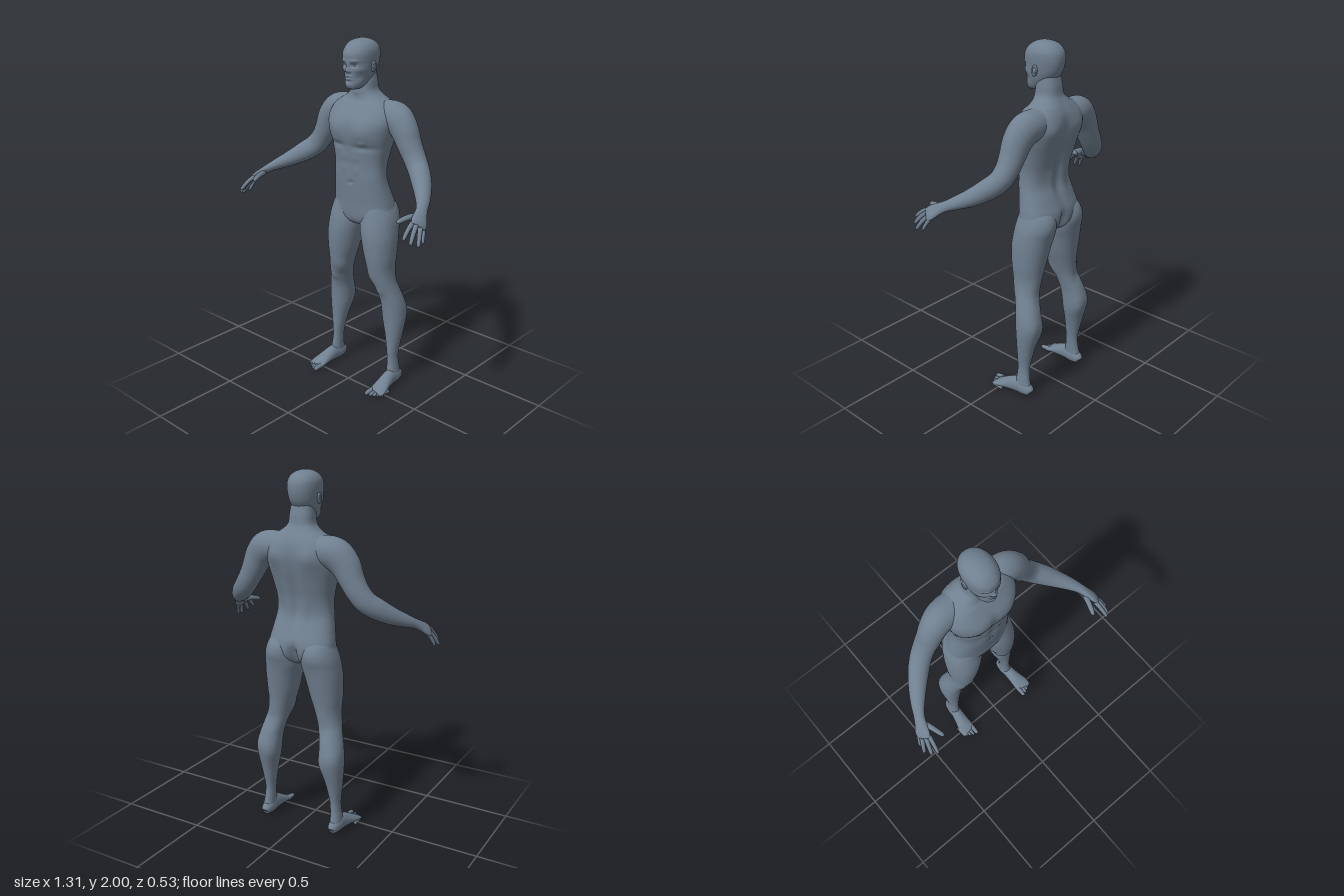
import * as THREE from 'three';

const skinMat = new THREE.MeshStandardMaterial({ color: 0x708090 });
skinMat.name = 'slate skin';

// Catmull-Rom interpolation of rows of numbers into n + 1 rows
function smoothRows(rows, n) {
  const out = [], last = rows.length - 1;
  for (let i = 0; i <= n; i++) {
    const u = (i / n) * last, k = Math.min(Math.floor(u), last - 1), t = u - k;
    const a = rows[Math.max(k - 1, 0)], b = rows[k], c = rows[k + 1], d = rows[Math.min(k + 2, last)];
    out.push(b.map((_, j) => 0.5 * (2 * b[j] + (c[j] - a[j]) * t
      + (2 * a[j] - 5 * b[j] + 4 * c[j] - d[j]) * t * t
      + (3 * b[j] - a[j] - 3 * c[j] + d[j]) * t * t * t)));
  }
  return out;
}

// Closed smooth surface through rings of points; side -1 mirrors it in x
function skin(rings, side = 1) {
  const pos = [], idx = [], m = rings[0].length, n = rings.length;
  const tri = (a, b, c) => (side > 0 ? idx.push(a, b, c) : idx.push(a, c, b));
  rings.forEach(r => r.forEach(p => pos.push(side * p.x, p.y, p.z)));
  for (const r of [rings[0], rings[n - 1]]) {
    const c = r.reduce((s, p) => s.add(p), new THREE.Vector3()).divideScalar(m);
    pos.push(side * c.x, c.y, c.z);
  }
  for (let j = 0; j < m; j++) {
    const k = (j + 1) % m, top = (n - 1) * m;
    for (let i = 0; i < n - 1; i++) {
      const a = i * m + j, b = i * m + k;
      tri(a, b, b + m);
      tri(a, b + m, a + m);
    }
    tri(n * m, k, j);
    tri(n * m + 1, top + j, top + k);
  }
  const g = new THREE.BufferGeometry();
  g.setAttribute('position', new THREE.Float32BufferAttribute(pos, 3));
  g.setIndex(idx);
  g.computeVertexNormals();
  return g;
}

// Upright body part, rows bottom to top: [y, centreX, halfWidth, zFront, zBack]
// forms: soft muscle bumps or dents [front 1 / back -1, x, y, radiusX, radiusY, amount]
function upright(rows, n, segs, power, forms) {
  const pw = v => Math.sign(v) * Math.abs(v) ** power;
  return smoothRows(rows, n).map(([y, cx, w, zf, zb]) => {
    const ring = [], cz = (zf + zb) / 2, d = (zf - zb) / 2;
    for (let j = 0; j < segs; j++) {
      const a = (j / segs) * Math.PI * 2, s = Math.sin(a), c = Math.cos(a);
      const p = new THREE.Vector3(cx + w * pw(s), y, cz + d * pw(c));
      let push = 0;
      for (const [face, bx, by, rx, ry, amount] of forms) {
        const facing = THREE.MathUtils.clamp(face * c * 2, 0, 1);
        push += facing * amount * Math.exp(-(((Math.abs(p.x) - bx) / rx) ** 2) - ((y - by) / ry) ** 2);
      }
      p.x += s * push;
      p.z += c * push;
      ring.push(p);
    }
    return ring;
  });
}

// Limb along a path, rows: [x, y, z, thickness, width]; width lies along ref
function limb(rows, n, segs, ref) {
  const path = smoothRows(rows, n), at = i => new THREE.Vector3(...path[i].slice(0, 3));
  return path.map((r, i) => {
    const t = at(Math.min(i + 1, n)).sub(at(Math.max(i - 1, 0))).normalize();
    const u = ref.clone().addScaledVector(t, -ref.dot(t)).normalize();
    const v = t.clone().cross(u), ring = [];
    for (let j = 0; j < segs; j++) {
      const a = (j / segs) * Math.PI * 2;
      ring.push(at(i).addScaledVector(u, Math.cos(a) * r[4]).addScaledVector(v, Math.sin(a) * r[3]));
    }
    return ring;
  });
}

// Finger or toe from base to tip with a slight arch and a rounded end
function digit(base, tip, r, arch) {
  const at = (t, k) => {
    const p = base.map((b, i) => b + (tip[i] - b) * t);
    p[1] += arch * Math.sin(Math.PI * t);
    return [...p, r * k, r * k];
  };
  return [at(0, 1.1), at(0.3, 1.05), at(0.5, 1), at(0.75, 0.92), at(0.92, 0.75), at(0.98, 0.45), at(1, 0.1)];
}

export function createModel() {
  const body = new THREE.Group();
  body.name = 'standing figure';
  const add = (name, geometry) => {
    const mesh = new THREE.Mesh(geometry, skinMat);
    mesh.name = name;
    body.add(mesh);
    return mesh;
  };
  const pair = (name, rings) => {
    add('left ' + name, skin(rings, 1));
    add('right ' + name, skin(rings, -1));
  };

  // Torso and neck
  add('torso', skin(upright([
    [0.962, 0, 0.03, -0.09, -0.15], [0.975, 0, 0.09, -0.06, -0.19], [1.0, 0, 0.155, -0.04, -0.225],
    [1.04, 0, 0.195, -0.032, -0.248], [1.1, 0, 0.191, -0.028, -0.25], [1.17, 0, 0.178, -0.02, -0.225],
    [1.25, 0, 0.165, -0.012, -0.197], [1.33, 0, 0.163, -0.01, -0.203], [1.42, 0, 0.18, 0, -0.228],
    [1.5, 0, 0.2, 0.013, -0.25], [1.57, 0, 0.212, 0.008, -0.26], [1.63, 0, 0.195, -0.025, -0.254],
    [1.67, 0, 0.148, -0.056, -0.238], [1.7, 0, 0.1, -0.065, -0.22], [1.73, 0, 0.073, -0.065, -0.205],
    [1.78, 0, 0.066, -0.07, -0.197], [1.83, 0, 0.058, -0.08, -0.185],
  ], 150, 80, 0.83, [
    [1, 0.09, 1.52, 0.07, 0.06, 0.012], [1, 0, 1.52, 0.016, 0.08, -0.007],     // chest
    [1, 0.09, 1.432, 0.06, 0.016, -0.01], [1, 0.09, 1.455, 0.014, 0.012, 0.005],
    [1, 0, 1.32, 0.012, 0.09, -0.005], [1, 0, 1.225, 0.01, 0.01, -0.012],      // belly
    [1, 0.04, 1.3, 0.025, 0.025, 0.004], [1, 0.04, 1.37, 0.025, 0.025, 0.004],
    [1, 0.1, 1.66, 0.08, 0.012, 0.005], [1, 0, 1.715, 0.014, 0.014, 0.005],    // collarbone, throat
    [-1, 0, 1.4, 0.025, 0.2, -0.018], [-1, 0.1, 1.57, 0.05, 0.06, 0.014],      // spine, shoulder blades
    [-1, 0.045, 1.28, 0.03, 0.08, 0.008], [-1, 0, 1.03, 0.02, 0.06, -0.045],
  ])));

  // Head with face forms
  add('head', skin(upright([
    [1.738, 0, 0.02, -0.02, -0.06], [1.745, 0, 0.036, -0.004, -0.09], [1.765, 0, 0.052, 0.002, -0.13],
    [1.8, 0, 0.066, 0.002, -0.17], [1.84, 0, 0.076, 0.004, -0.2], [1.88, 0, 0.082, 0.007, -0.214],
    [1.92, 0, 0.085, 0.01, -0.217], [1.95, 0, 0.081, -0.003, -0.21], [1.975, 0, 0.066, -0.026, -0.19],
    [1.99, 0, 0.045, -0.052, -0.163], [1.998, 0, 0.021, -0.08, -0.135], [2.0, 0, 0.004, -0.103, -0.111],
  ], 120, 112, 0.93, [
    [1, 0, 1.868, 0.009, 0.016, 0.009], [1, 0, 1.842, 0.011, 0.012, 0.018],    // nose
    [1, 0.013, 1.836, 0.007, 0.007, 0.007],
    [1, 0.034, 1.89, 0.022, 0.008, 0.006], [1, 0.032, 1.868, 0.015, 0.011, -0.011],
    [1, 0.052, 1.845, 0.02, 0.016, 0.005], [1, 0.05, 1.805, 0.018, 0.02, -0.004],
    [1, 0, 1.81, 0.022, 0.005, 0.007], [1, 0, 1.795, 0.02, 0.006, 0.007],      // lips
    [1, 0, 1.782, 0.02, 0.006, -0.003], [1, 0, 1.763, 0.018, 0.012, 0.005],    // chin
  ])));

  // Eyes and ears
  for (const [side, word] of [[1, 'left'], [-1, 'right']]) {
    add(word + ' eye', new THREE.SphereGeometry(0.012, 20, 14)).position.set(side * 0.032, 1.868, -0.021);
    const rim = new THREE.TorusGeometry(0.018, 0.006, 12, 32).scale(0.75, 1.25, 1).rotateY(Math.PI / 2);
    const shell = new THREE.SphereGeometry(0.017, 20, 14).scale(0.35, 1.25, 0.75);
    for (const [part, g] of [[' ear rim', rim], [' ear shell', shell]]) {
      const ear = add(word + part, g);
      ear.position.set(side * 0.085, 1.857, -0.107);
      ear.rotation.x = -0.15;
    }
  }

  // Legs
  pair('leg', upright([
    [0.02, 0.224, 0.028, -0.1, -0.195], [0.05, 0.224, 0.032, -0.095, -0.203], [0.1, 0.221, 0.03, -0.104, -0.192],
    [0.15, 0.217, 0.028, -0.11, -0.187], [0.2, 0.215, 0.03, -0.11, -0.19], [0.3, 0.212, 0.046, -0.108, -0.212],
    [0.4, 0.205, 0.064, -0.102, -0.24], [0.47, 0.201, 0.067, -0.096, -0.245], [0.53, 0.194, 0.065, -0.088, -0.234],
    [0.6, 0.177, 0.063, -0.072, -0.212], [0.65, 0.163, 0.064, -0.05, -0.2], [0.72, 0.148, 0.071, -0.032, -0.203],
    [0.8, 0.138, 0.087, -0.02, -0.215], [0.9, 0.127, 0.1, -0.014, -0.233], [0.97, 0.116, 0.106, -0.02, -0.246],
    [1.03, 0.112, 0.1, -0.032, -0.252], [1.1, 0.103, 0.082, -0.05, -0.235], [1.15, 0.095, 0.055, -0.08, -0.18],
  ], 120, 52, 0.95, [
    [1, 0.175, 0.6, 0.03, 0.03, 0.01], [1, 0.11, 0.68, 0.035, 0.045, 0.008],   // knee, inner thigh
    [-1, 0.165, 0.44, 0.03, 0.06, 0.008], [-1, 0.235, 0.46, 0.03, 0.05, 0.006],// calf
    [-1, 0.17, 0.61, 0.025, 0.04, -0.006], [-1, 0.11, 1.05, 0.07, 0.06, 0.013],// knee hollow, buttock
  ]));

  // Feet and toes
  const across = new THREE.Vector3(1, 0, 0);
  pair('foot', limb([
    [0.222, 0.033, -0.21, 0.012, 0.012], [0.222, 0.037, -0.202, 0.03, 0.026], [0.223, 0.045, -0.16, 0.045, 0.036],
    [0.226, 0.048, -0.11, 0.048, 0.036], [0.232, 0.037, -0.055, 0.037, 0.042], [0.238, 0.025, -0.01, 0.025, 0.049],
    [0.24, 0.017, 0.022, 0.016, 0.05], [0.238, 0.014, 0.035, 0.009, 0.044],
  ], 40, 36, across));
  [[0.205, 0.08, 0.014], [0.229, 0.073, 0.0105], [0.248, 0.062, 0.01], [0.265, 0.05, 0.0095], [0.281, 0.036, 0.009]]
    .forEach(([x, z, r], i) => pair('toe ' + (i + 1),
      limb(digit([x, r * 1.1, z - 0.07], [x, r * 0.8, z], r, 0.003), 18, 14, across)));

  // Arms, from inside the shoulder to the palm
  const palmAxis = new THREE.Vector3(-0.3, 0.2, 1);
  pair('arm', limb([
    [0.06, 1.605, -0.16, 0.07, 0.065], [0.14, 1.6, -0.16, 0.082, 0.08], [0.21, 1.588, -0.157, 0.087, 0.079],
    [0.262, 1.538, -0.152, 0.08, 0.072], [0.3, 1.465, -0.15, 0.068, 0.066], [0.335, 1.405, -0.147, 0.062, 0.061],
    [0.375, 1.353, -0.132, 0.06, 0.057], [0.425, 1.312, -0.093, 0.057, 0.054], [0.48, 1.272, -0.037, 0.046, 0.047],
    [0.53, 1.24, 0.025, 0.033, 0.037], [0.558, 1.22, 0.068, 0.025, 0.031], [0.578, 1.2, 0.105, 0.021, 0.036],
    [0.597, 1.177, 0.14, 0.018, 0.045], [0.607, 1.161, 0.163, 0.012, 0.041],
  ], 100, 40, palmAxis));

  // Fingers and thumb
  const fingers = {
    'index finger': [[0.582, 1.18, 0.175], [0.597, 1.118, 0.265], 0.0115],
    'middle finger': [[0.6, 1.17, 0.168], [0.625, 1.094, 0.243], 0.012],
    'ring finger': [[0.613, 1.156, 0.15], [0.647, 1.078, 0.207], 0.0115],
    'little finger': [[0.618, 1.145, 0.13], [0.641, 1.083, 0.163], 0.01],
    'thumb': [[0.56, 1.197, 0.115], [0.523, 1.18, 0.225], 0.0145],
  };
  for (const [name, [base, tip, r]] of Object.entries(fingers))
    pair(name, limb(digit(base, tip, r, 0.007), 20, 16, across));

  return body;
}
